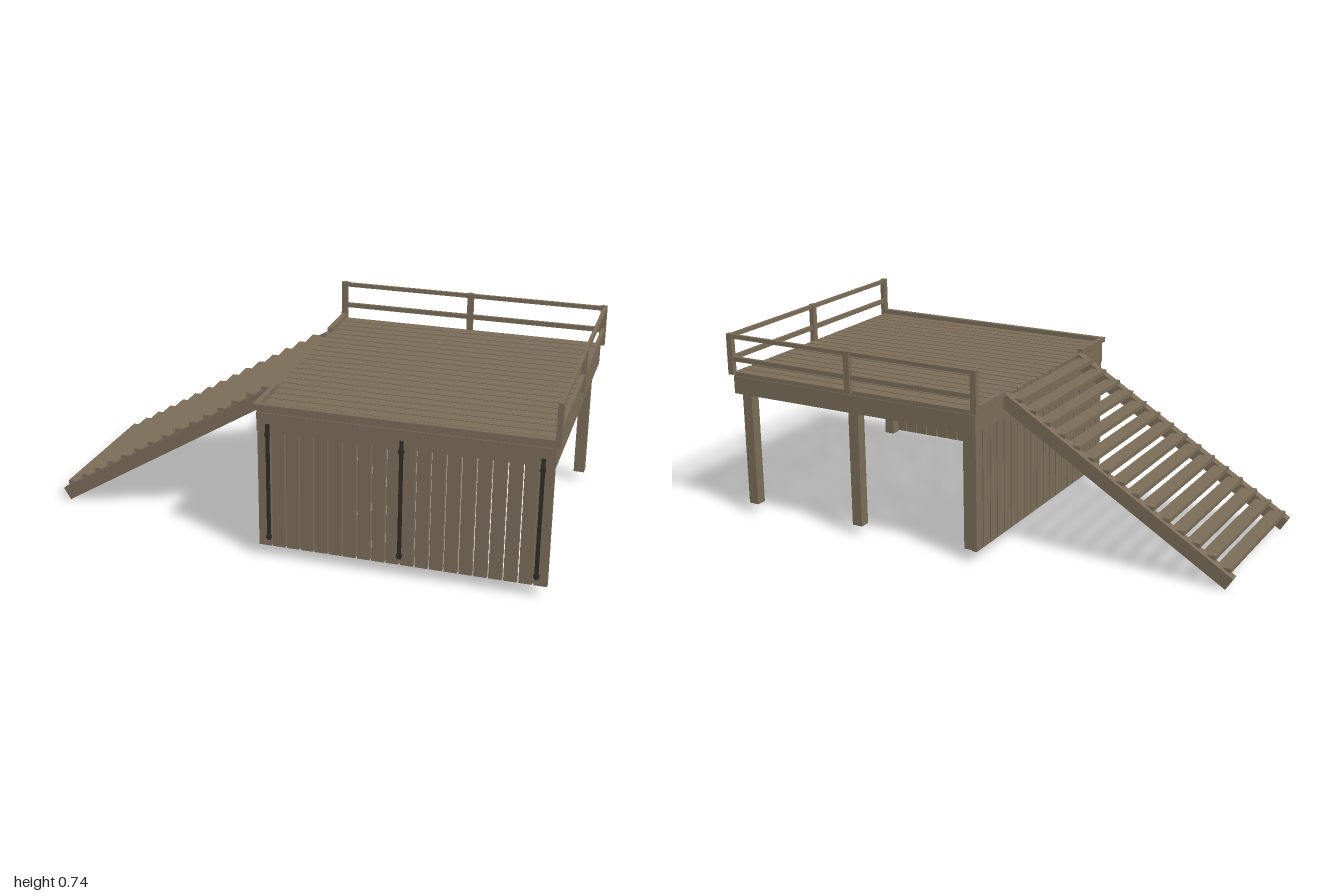
import * as THREE from 'three';

const wood = new THREE.MeshStandardMaterial({ color: 0x7a6c58 });
wood.name = 'weathered wood';
const iron = new THREE.MeshStandardMaterial({ color: 0x2e2c28 });
iron.name = 'dark iron';

// Box given by its limits on each axis
function box(parent, name, [x0, x1], [y0, y1], [z0, z1], material = wood) {
  const mesh = new THREE.Mesh(new THREE.BoxGeometry(x1 - x0, y1 - y0, z1 - z0), material);
  mesh.position.set((x0 + x1) / 2, (y0 + y1) / 2, (z0 + z1) / 2);
  mesh.name = name;
  parent.add(mesh);
  return mesh;
}

function part(root, name) {
  const group = new THREE.Group();
  group.name = name;
  root.add(group);
  return group;
}

export function createModel() {
  const root = new THREE.Group();
  root.name = 'raisedDeck';
  const X0 = -0.09, X1 = 0.982, Z = 0.537;
  const count = 20, gap = 0.006;
  const postX = [-0.048, 0.446, 0.94];

  // Floor boards running along x
  const floor = part(root, 'floor');
  const pitchZ = (2 * Z) / count;
  for (let i = 0; i < count; i++) {
    const z = -Z + i * pitchZ;
    box(floor, 'floorBoard', [X0, X1], [0.57, 0.586], [z + gap / 2, z + pitchZ - gap / 2]);
  }

  // Rim beams under the floor edge
  const rim = part(root, 'rim');
  for (const s of [-1, 1]) {
    const z = s * (Z - 0.01);
    box(rim, 'rimLong', [X0, X1], [0.5, 0.57], [z - 0.01, z + 0.01]);
  }
  box(rim, 'rimStairSide', [X0, X0 + 0.02], [0.5, 0.57], [-Z + 0.02, Z - 0.02]);
  box(rim, 'rimOpenSide', [X1 - 0.02, X1], [0.5, 0.57], [-Z + 0.02, Z - 0.02]);

  // Support posts
  const posts = part(root, 'posts');
  for (const x of postX)
    for (const z of [-0.495, 0.495])
      box(posts, 'post', [x - 0.021, x + 0.021], [0.04, 0.57], [z - 0.021, z + 0.021]);

  // Plank skirts on the front and on the stair side
  const skirt = part(root, 'skirt');
  const pitchX = (X1 - X0) / count;
  for (let i = 0; i < count; i++) {
    const x = X0 + i * pitchX, z = -Z + i * pitchZ;
    box(skirt, 'frontPlank', [x + gap / 2, x + pitchX - gap / 2], [0.045, 0.5], [Z - 0.02, Z]);
    const z1 = i === count - 1 ? Z - 0.021 : z + pitchZ - gap / 2;
    box(skirt, 'sidePlank', [X0, X0 + 0.02], [0.045, 0.5], [z + gap / 2, z1]);
  }

  // Iron straps with bolts in front of the front posts
  const straps = part(root, 'straps');
  for (const x of postX) {
    box(straps, 'strap', [x - 0.007, x + 0.007], [0.07, 0.53], [Z, Z + 0.005], iron);
    for (const y of [0.085, 0.49])
      box(straps, 'bolt', [x - 0.01, x + 0.01], [y - 0.006, y + 0.006], [Z, Z + 0.01], iron);
  }

  // Low curbs along the front and beside the stair opening
  const curbs = part(root, 'curbs');
  box(curbs, 'frontCurb', [-0.1, 0.98], [0.586, 0.604], [0.525, 0.545]);
  for (const [z0, z1] of [[0.325, 0.525], [-0.53, -0.325]])
    box(curbs, 'stairCurb', [-0.1, -0.08], [0.586, 0.604], [z0, z1]);

  // Railing along the back and the open side
  const railing = part(root, 'railing');
  for (const x of [-0.09, 0.446, 0.985])
    box(railing, 'backRailPost', [x - 0.012, x + 0.012], [0.578, 0.74], [-0.55, -0.53]);
  for (const z of [0, 0.538])
    box(railing, 'sideRailPost', [0.978, 0.998], [0.578, 0.74], [z - 0.012, z + 0.012]);
  for (const [y0, y1] of [[0.722, 0.738], [0.632, 0.65]]) {
    box(railing, 'backRail', [-0.08, 0.975], [y0, y1], [-0.546, -0.533]);
    box(railing, 'sideRail', [0.982, 0.995], [y0, y1], [-0.53, 0.528]);
  }

  // Stairs: sloping stringers and evenly spaced treads
  const stairs = part(root, 'stairs');
  const outline = new THREE.Shape([
    new THREE.Vector2(-0.972, 0), new THREE.Vector2(-0.09, 0.535),
    new THREE.Vector2(-0.09, 0.59), new THREE.Vector2(-0.105, 0.588),
    new THREE.Vector2(-1, 0.045),
  ]);
  for (const z of [-0.325, 0.291]) {
    const geometry = new THREE.ExtrudeGeometry(outline, { depth: 0.034, bevelEnabled: false });
    const stringer = new THREE.Mesh(geometry, wood);
    stringer.position.z = z;
    stringer.name = 'stringer';
    stairs.add(stringer);
  }
  for (let i = 0; i < 15; i++) {
    const x = -0.985 + i * 0.0592, y = 0.075 + i * 0.0358;
    box(stairs, 'tread', [x, x + 0.058], [y - 0.016, y], [-0.308, 0.308]);
  }
  return root;
}
